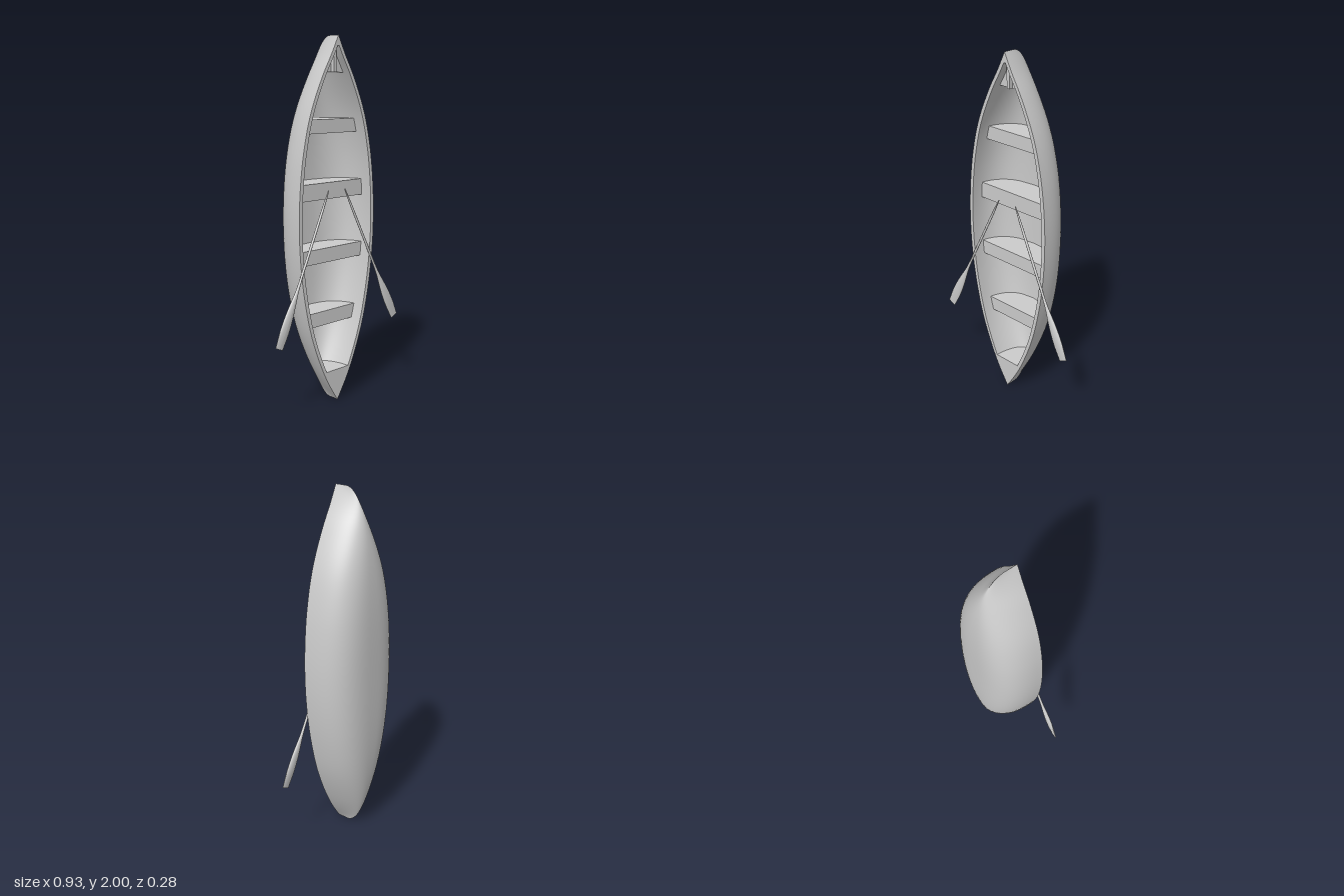
import * as THREE from 'three';

const RIM_Z = 0.11, WALL = 0.022, STERN = 0.18, BOW = 1.945;
const mat = new THREE.MeshStandardMaterial({ color: 0xcccccc });
const matDouble = new THREE.MeshStandardMaterial({ color: 0xcccccc, side: THREE.DoubleSide });

// Smooth interpolation through [position, value] pairs
function curve(pairs) {
  const f = new THREE.CubicInterpolant(pairs.map(p => p[0]), pairs.map(p => p[1]), 1);
  return t => f.evaluate(t)[0];
}

// Half width of the gunwale along the boat's length
const beam = curve([
  [0, 0], [0.1, 0.062], [0.2, 0.113], [0.4, 0.19], [0.6, 0.238], [0.8, 0.267], [1, 0.278],
  [1.2, 0.271], [1.4, 0.246], [1.6, 0.196], [1.8, 0.108], [1.9, 0.051], [2, 0],
]);
const depth = y => 0.065 + 0.19 * Math.sqrt(Math.max(0, 1 - Math.abs(y - 1) ** 3));

// Superellipse section: full amidships, V-shaped at the ends
function section(y, inner) {
  const fullness = 1 - Math.abs(y - 1) ** 3;
  return {
    b: Math.max(0, beam(y) - (inner ? WALL : 0)),
    d: depth(y) - (inner ? WALL : 0),
    n: inner ? 1.4 + 1.1 * fullness : 1.4 + 1.4 * fullness,
  };
}

function sectionPoints(y, inner, count = 48) {
  const { b, d, n } = section(y, inner), pts = [];
  for (let i = 0; i <= count; i++) {
    const a = Math.PI * i / count;
    const c = i === count / 2 ? 0 : Math.cos(a);
    const s = i % count === 0 ? 0 : Math.sin(a);
    pts.push(new THREE.Vector3(
      Math.sign(c) * b * Math.abs(c) ** (2 / n), y, RIM_Z - d * s ** (2 / n)));
  }
  return pts;
}

// Skin a list of equally long point rows
function loft(rows, flip) {
  const w = rows[0].length, index = [];
  for (let r = 0; r < rows.length - 1; r++) {
    for (let i = 0; i < w - 1; i++) {
      const a = r * w + i, b = a + 1, c = a + w, e = c + 1;
      if (flip) index.push(a, c, b, b, c, e);
      else index.push(a, b, c, b, e, c);
    }
  }
  const g = new THREE.BufferGeometry().setFromPoints(rows.flat());
  g.setIndex(index);
  g.computeVertexNormals();
  return g;
}

// Stations along the length, closer together toward the ends
function stations(y0, y1, count = 64) {
  return Array.from({ length: count + 1 }, (_, i) =>
    y0 + (y1 - y0) * (1 - Math.cos(Math.PI * i / count)) / 2);
}

function outline(ys, inner) {
  const half = ys.map(y => [section(y, inner).b, y]);
  return [...half, ...half.slice().reverse().map(([x, y]) => [-x, y])]
    .map(([x, y]) => new THREE.Vector2(x, y));
}

// Block spanning the hull, its ends following the inner skin
function thwart(y0, y1, zTop, maxHalf = 1) {
  const g = new THREE.BoxGeometry(2, 1, 1, 1, 2, 14);
  const p = g.attributes.position;
  for (let i = 0; i < p.count; i++) {
    const y = THREE.MathUtils.lerp(y0, y1, p.getY(i) + 0.5);
    const { b, d, n } = section(y, true);
    const z = THREE.MathUtils.lerp(RIM_Z - d, zTop, p.getZ(i) + 0.5);
    const s = Math.min(1, (RIM_Z - z) / d);
    const half = Math.min(maxHalf, b * (1 - s ** n) ** (1 / n));
    p.setXYZ(i, Math.sign(p.getX(i)) * half, y, z);
  }
  g.computeVertexNormals();
  return g;
}

// Oar as one tapered, flattened rod
const oarWidth = curve([[0, 0.003], [0.1, 0.006], [0.4, 0.007], [0.64, 0.009], [0.72, 0.018],
  [0.8, 0.027], [0.9, 0.031], [1, 0.026]]);
const oarThickness = curve([[0, 0.003], [0.1, 0.006], [0.4, 0.007], [0.64, 0.008], [0.76, 0.012],
  [0.88, 0.011], [1, 0.003]]);

function oar(side) {
  const handle = new THREE.Vector3(side * 0.06, 1.19, 0.1);
  const tip = new THREE.Vector3(side * 0.44, 0.405, 0.132);
  const axis = handle.clone().sub(tip), len = axis.length();
  const g = new THREE.CylinderGeometry(1, 1, len, 20, 48);
  const p = g.attributes.position;
  for (let i = 0; i < p.count; i++) {
    const t = THREE.MathUtils.clamp(0.5 - p.getY(i) / len, 0, 1);
    p.setX(i, p.getX(i) * oarWidth(t));
    p.setZ(i, p.getZ(i) * oarThickness(t));
  }
  g.computeVertexNormals();
  const m = new THREE.Mesh(g, mat);
  m.position.copy(handle).add(tip).multiplyScalar(0.5);
  m.quaternion.setFromUnitVectors(new THREE.Vector3(0, 1, 0), axis.normalize());
  return m;
}

export function createModel() {
  const group = new THREE.Group();
  const add = (name, geometry, material = mat) => {
    const m = new THREE.Mesh(geometry, material);
    m.name = name;
    group.add(m);
  };

  // Hull skins
  const outerY = stations(0, 2), innerY = stations(STERN, BOW);
  add('outerHull', loft(outerY.map(y => sectionPoints(y, false)), false));
  add('innerHull', loft(innerY.map(y => sectionPoints(y, true)), true));

  // Flat gunwale with the stern deck
  const rim = new THREE.Shape(outline(outerY, false));
  rim.holes.push(new THREE.Path(outline(innerY, true)));
  add('gunwale', new THREE.ShapeGeometry(rim).translate(0, 0, RIM_Z), matDouble);

  // Wall closing the cockpit below the stern deck
  const wall = sectionPoints(STERN, true);
  add('sternBulkhead', loft([wall, wall.map(p => new THREE.Vector3(0, p.y, p.z))]), matDouble);

  // Seats
  [[0.43, 0.51], [0.785, 0.865], [1.135, 1.225], [1.49, 1.565]].forEach(([y0, y1], i) =>
    add(`seat${i + 1}`, thwart(y0, y1, 0.045)));

  // Bow block with its centre rib
  add('bowSeat', thwart(1.81, 1.93, 0.065));
  add('bowRib', thwart(1.81, 1.925, 0.085, 0.01));

  // Oars
  for (const side of [1, -1]) {
    const m = oar(side);
    m.name = side > 0 ? 'leftOar' : 'rightOar';
    group.add(m);
  }
  return group;
}
